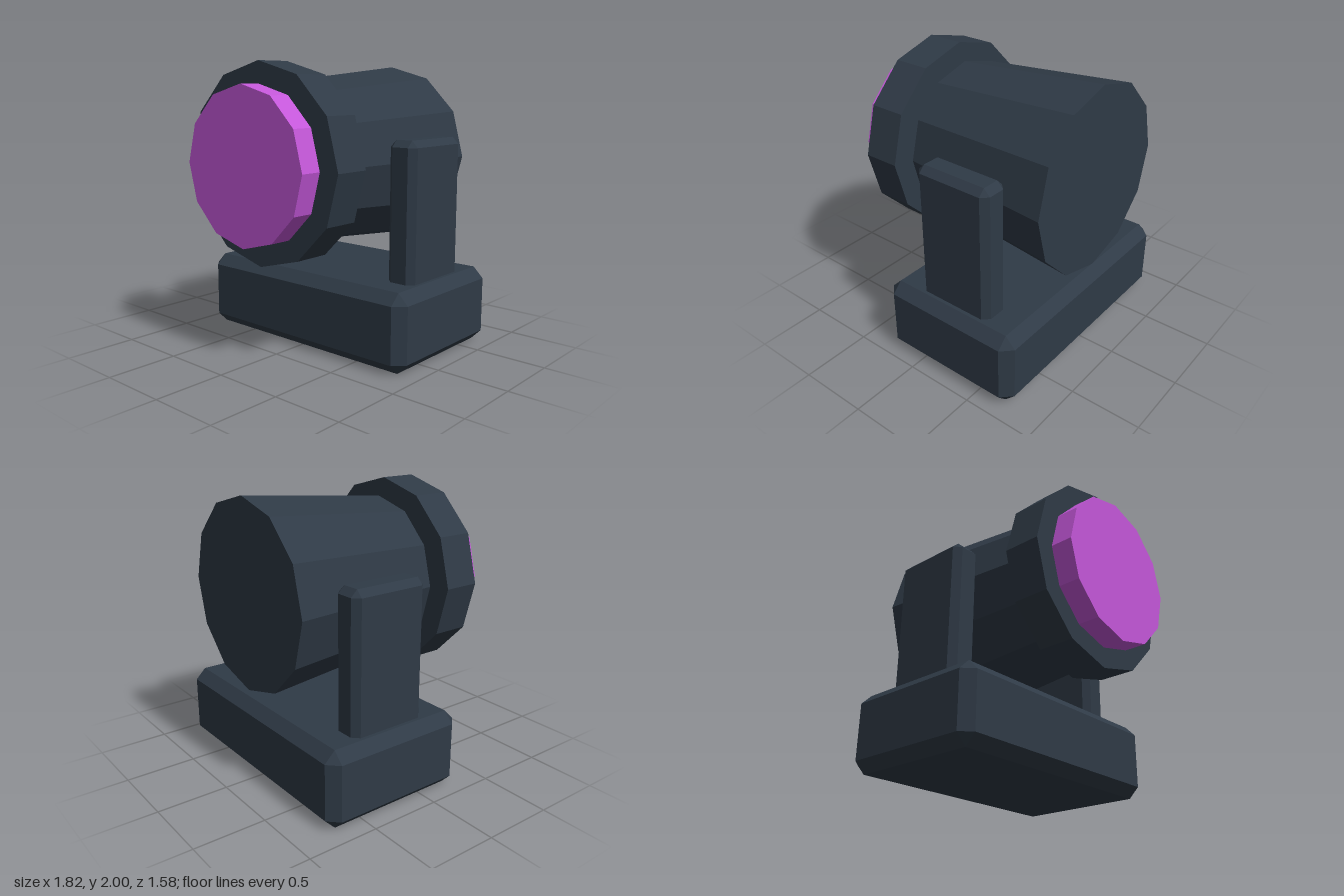
import * as THREE from 'three';
import { ConvexGeometry } from 'three/addons/geometries/ConvexGeometry.js';

// Box with 45 degree chamfers of width b, spanning the given min and max corners
function chamferBox(min, max, b) {
  const c = min.map((v, i) => (v + max[i]) / 2);
  const h = min.map((v, i) => (max[i] - v) / 2);
  const points = [];
  for (const sx of [-1, 1]) for (const sy of [-1, 1]) for (const sz of [-1, 1]) {
    for (let axis = 0; axis < 3; axis++) {
      const e = h.map((v, i) => (i === axis ? v : v - b));
      points.push(new THREE.Vector3(c[0] + sx * e[0], c[1] + sy * e[1], c[2] + sz * e[2]));
    }
  }
  return new ConvexGeometry(points);
}

// Twelve-sided drum along z on the barrel axis
function drum(zBack, zFront, rBack, rFront) {
  return new THREE.CylinderGeometry(rFront, rBack, zFront - zBack, 12)
    .rotateX(Math.PI / 2)
    .translate(0, 1.323, (zBack + zFront) / 2)
    .toNonIndexed();
}

export function createModel() {
  const group = new THREE.Group();
  const casing = new THREE.MeshStandardMaterial({ color: 0x2f3a46 });
  casing.name = 'darkCasing';
  const glass = new THREE.MeshStandardMaterial({ color: 0xc457d9 });
  glass.name = 'purpleLens';

  const add = (name, geometry, material) => {
    geometry.computeVertexNormals();
    const mesh = new THREE.Mesh(geometry, material);
    mesh.name = name;
    group.add(mesh);
  };

  // Base and the two upright arms, sunk slightly into it
  add('base', chamferBox([-0.91, 0, -0.77], [0.91, 0.54, 0.305], 0.075), casing);
  add('leftArm', chamferBox([0.595, 0.45, -0.52], [0.81, 1.49, 0.055], 0.046), casing);
  add('rightArm', chamferBox([-0.81, 0.45, -0.52], [-0.595, 1.49, 0.055], 0.046), casing);

  // Lamp head: tapered barrel, separate front ring and lens
  add('barrel', drum(-0.79, 0.33, 0.654, 0.55), casing);
  add('frontRing', drum(0.373, 0.635, 0.677, 0.677), casing);
  add('lens', drum(0.6, 0.79, 0.53, 0.53), glass);

  return group;
}
